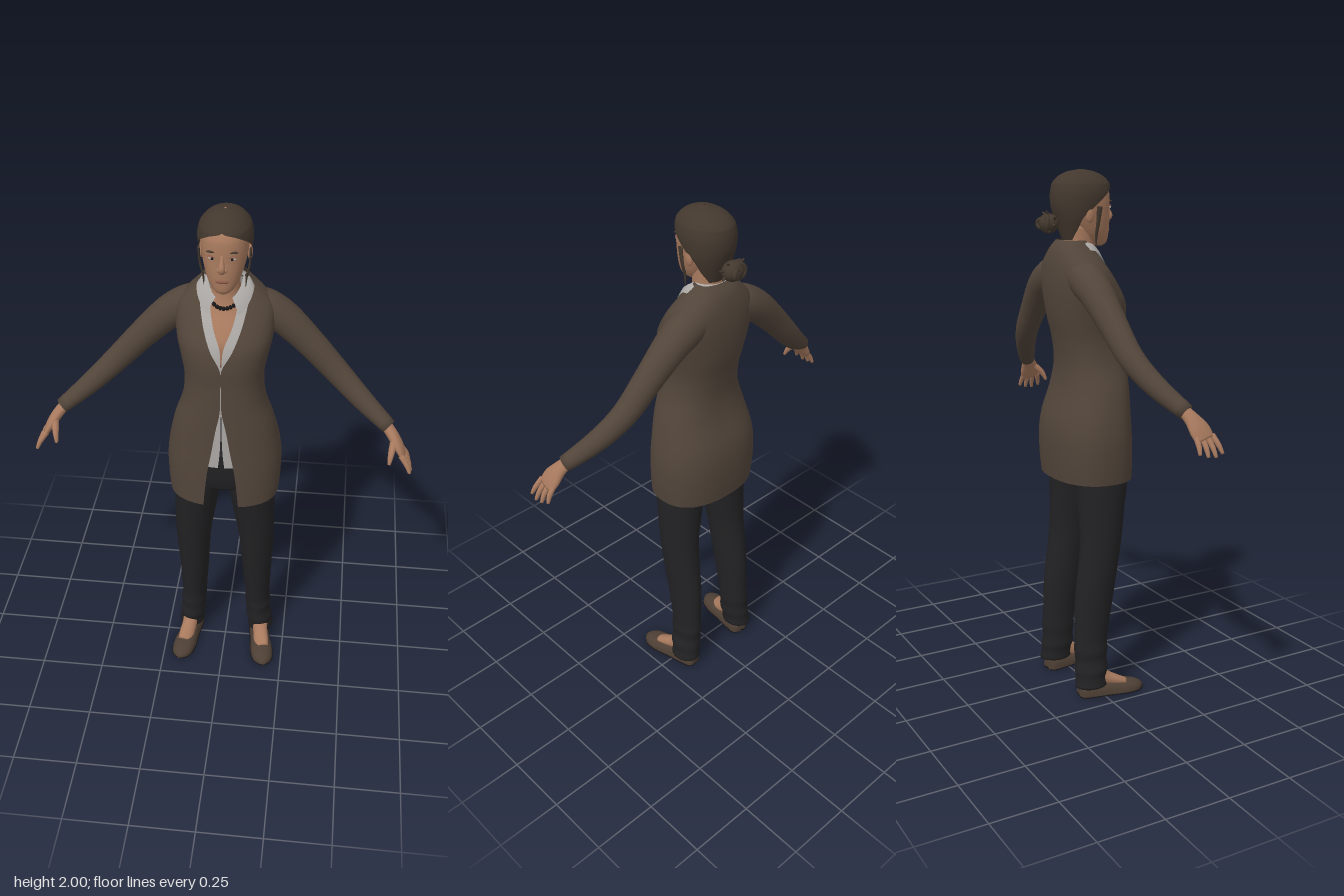
import * as THREE from 'three';

const mat = (name, color, side = THREE.FrontSide) => {
  const m = new THREE.MeshStandardMaterial({ color, side });
  m.name = name;
  return m;
};

// Catmull-Rom interpolation of every column of a station table
function smooth(rows, k = 4) {
  const out = [], at = i => rows[Math.min(rows.length - 1, Math.max(0, i))];
  for (let i = 0; i < rows.length - 1; i++) for (let j = 0; j < k; j++) {
    const t = j / k;
    out.push(rows[i].map((b, c) => {
      const a = at(i - 1)[c], d = at(i + 1)[c], e = at(i + 2)[c];
      return b + 0.5 * t * (d - a + t * (2 * a - 5 * b + 4 * d - e + t * (3 * (b - d) + e - a)));
    }));
  }
  out.push(rows[rows.length - 1]);
  return out;
}

// Skin a list of rings, each counter-clockwise about the direction of travel
function loft(rings, { closed = true, caps = true } = {}) {
  const n = rings[0].length, pos = rings.flat(2), idx = [];
  const m = closed ? n : n - 1;
  for (let i = 0; i < rings.length - 1; i++) for (let j = 0; j < m; j++) {
    const a = i * n + j, b = i * n + (j + 1) % n;
    idx.push(a, b, b + n, a, b + n, a + n);
  }
  if (closed && caps) [0, rings.length - 1].forEach((r, end) => {
    const c = pos.length / 3;
    for (let k = 0; k < 3; k++) pos.push(rings[r].reduce((s, p) => s + p[k], 0) / n);
    for (let j = 0; j < n; j++) {
      const a = r * n + j, b = r * n + (j + 1) % n;
      idx.push(...(end ? [a, b, c] : [b, a, c]));
    }
  });
  const g = new THREE.BufferGeometry();
  g.setAttribute('position', new THREE.Float32BufferAttribute(pos, 3));
  g.setIndex(idx);
  g.computeVertexNormals();
  return g;
}

// Upright body from [y, halfWidth, zFront, zBack, frontGap]; the gap is a width or an angle
function body(rows, { p = 0.85, n = 40, open = false, byAngle = false, caps = true } = {}) {
  const rings = smooth(rows).map(([y, w, zf, zb, gap = 0]) => {
    const g = Math.max(gap, 0);
    const a0 = byAngle ? g : Math.asin(Math.min(1, (g / w) ** (1 / p)));
    const pw = v => Math.sign(v) * Math.abs(v) ** p;
    return Array.from({ length: open ? n + 1 : n }, (_, j) => {
      const a = a0 + (2 * Math.PI - 2 * a0) * j / n;
      return [w * pw(Math.sin(a)), y, (zf + zb) / 2 + (zf - zb) / 2 * pw(Math.cos(a))];
    });
  });
  return loft(rings, { closed: !open, caps });
}

// Limb along a path of [x, y, z, thickness, breadth]
function limb(rows, n = 16, k = 4) {
  const pts = smooth(rows, k), V = q => new THREE.Vector3(q[0], q[1], q[2]);
  return loft(pts.map((q, i) => {
    const t = V(pts[Math.min(i + 1, pts.length - 1)]).sub(V(pts[Math.max(i - 1, 0)])).normalize();
    const u = t.clone().cross(new THREE.Vector3(0, 0, 1)).normalize(), v = t.clone().cross(u);
    return Array.from({ length: n }, (_, j) => {
      const a = 2 * Math.PI * j / n;
      return V(q).addScaledVector(u, q[3] * Math.cos(a)).addScaledVector(v, q[4] * Math.sin(a)).toArray();
    });
  }));
}

const ball = (x, y, z, rx, ry, rz) => new THREE.SphereGeometry(1, 18, 12).scale(rx, ry, rz).translate(x, y, z);

function mirrored(geo) {
  const g = geo.clone().scale(-1, 1, 1), ix = g.index.array;
  for (let i = 0; i < ix.length; i += 3) [ix[i], ix[i + 1]] = [ix[i + 1], ix[i]];
  g.computeVertexNormals();
  return g;
}

// Flat-bottomed shoe section swept from heel to toe
function shoe(grow, height) {
  const rows = [[-0.09, 0.018, 0.045], [-0.075, 0.036, 0.06], [-0.03, 0.04, 0.055], [0.03, 0.042, 0.05],
    [0.09, 0.047, 0.045], [0.14, 0.041, 0.036], [0.165, 0.024, 0.025], [0.176, 0.007, 0.014]];
  const rings = smooth(rows, 3).map(([z, w, h]) => Array.from({ length: 20 }, (_, j) => {
    const a = 2 * Math.PI * j / 20, s = Math.sin(a);
    return [(w + grow) * Math.cos(a), s > 0 ? (height || h) * s ** 0.7 : 0, z];
  }));
  return loft(rings).rotateY(0.17).translate(0.15, 0, 0);
}

export function createModel() {
  const model = new THREE.Group();
  const D = THREE.DoubleSide;
  const coat = mat('coatBrown', 0x52453a, D), hair = mat('hairBrown', 0x43382e, D), skin = mat('skin', 0xa87a5e);
  const trouser = mat('trouserBlack', 0x222224), shirt = mat('shirtGrey', 0xa9a6a3, D);
  const leather = mat('shoeBrown', 0x4d3f34), dark = mat('dark', 0x191618);
  const lip = mat('lip', 0x8c5a4a), white = mat('eyeWhite', 0xb8b0a8);
  const add = (name, geo, m) => {
    const mesh = new THREE.Mesh(geo, m);
    mesh.name = name;
    model.add(mesh);
  };
  const pair = (name, geo, m) => {
    add(name + 'Left', geo, m);
    add(name + 'Right', mirrored(geo), m);
  };

  // Long cardigan, open at the neck and below the waist
  add('coat', body([
    [0.86, 0.208, 0.168, -0.132, 0.066], [0.93, 0.214, 0.167, -0.138, 0.06], [1.02, 0.215, 0.165, -0.14, 0.05],
    [1.1, 0.205, 0.162, -0.13, 0.036], [1.2, 0.182, 0.16, -0.1, 0.02], [1.29, 0.152, 0.158, -0.09, 0.003],
    [1.38, 0.143, 0.155, -0.1, 0.0015], [1.46, 0.155, 0.156, -0.118, 0.002], [1.53, 0.17, 0.145, -0.128, 0.038],
    [1.59, 0.175, 0.11, -0.132, 0.063], [1.64, 0.17, 0.075, -0.13, 0.077], [1.68, 0.14, 0.05, -0.125, 0.084],
    [1.72, 0.098, 0.025, -0.113, 0.08], [1.75, 0.073, 0, -0.09, 0.064]], { open: true, n: 48 }), coat);
  pair('sleeve', limb([
    [0.09, 1.63, -0.05, 0.055, 0.065], [0.135, 1.61, -0.05, 0.068, 0.068], [0.205, 1.57, -0.052, 0.061, 0.063],
    [0.3, 1.48, -0.045, 0.053, 0.052], [0.405, 1.37, -0.03, 0.046, 0.045], [0.5, 1.285, 0.01, 0.039, 0.039],
    [0.603, 1.21, 0.066, 0.028, 0.031]], 24), coat);

  // Shirt and folded collar
  add('shirt', body([
    [1.03, 0.185, 0.148, -0.115, 0.012], [1.1, 0.18, 0.147, -0.11, 0.005], [1.2, 0.165, 0.145, -0.085, 0.0015],
    [1.3, 0.138, 0.143, -0.077, 0.001], [1.38, 0.13, 0.142, -0.087, 0.001], [1.46, 0.142, 0.145, -0.1, 0.002],
    [1.53, 0.15, 0.132, -0.11, 0.006], [1.59, 0.15, 0.1, -0.11, 0.03], [1.64, 0.13, 0.066, -0.105, 0.044],
    [1.68, 0.1, 0.045, -0.1, 0.048], [1.71, 0.08, 0.03, -0.09, 0.045]], { open: true }), shirt);
  const collarRow = (w, zf, zb, y, dip, a0) => Array.from({ length: 33 }, (_, j) => {
    const a = a0 + (2 * Math.PI - 2 * a0) * j / 32, c = Math.cos(a);
    return [w * Math.sin(a), y - dip * Math.max(0, c) ** 1.2, (zf + zb) / 2 + (zf - zb) / 2 * c];
  });
  add('collar', loft([collarRow(0.1, 0.088, -0.09, 1.715, 0.09, 0.58), collarRow(0.084, 0.075, -0.088, 1.74, 0.08, 0.52),
    collarRow(0.06, 0.055, -0.08, 1.745, 0.06, 0.5)], { closed: false }), shirt);

  // Neck, chest and necklace
  add('neckAndChest', body([
    [1.45, 0.1, 0.11, -0.08], [1.53, 0.11, 0.118, -0.09], [1.59, 0.11, 0.09, -0.09], [1.64, 0.085, 0.058, -0.088],
    [1.68, 0.058, 0.045, -0.085], [1.73, 0.05, 0.04, -0.07], [1.8, 0.05, 0.04, -0.07]], { p: 0.95 }), skin);
  for (let i = -4; i <= 4; i++) {
    const a = i * 0.2;
    add('necklaceBead', ball(0.06 * Math.sin(a), 1.655 + 0.04 * (1 - Math.cos(a)), -0.02 + 0.077 * Math.cos(a), 0.007, 0.008, 0.007), dark);
  }

  // Head and face
  add('head', body([
    [1.726, 0.02, 0.085, 0.02], [1.74, 0.038, 0.099, 0], [1.77, 0.056, 0.103, -0.03], [1.81, 0.069, 0.105, -0.06],
    [1.85, 0.078, 0.104, -0.08], [1.89, 0.083, 0.104, -0.095], [1.93, 0.081, 0.099, -0.1], [1.96, 0.066, 0.078, -0.083],
    [1.982, 0.036, 0.038, -0.05]], { p: 0.92 }), skin);
  add('nose', limb([[0, 1.88, 0.097, 0.007, 0.006], [0, 1.855, 0.108, 0.008, 0.009], [0, 1.834, 0.115, 0.012, 0.013],
    [0, 1.819, 0.106, 0.01, 0.009]], 12), skin);
  add('mouth', ball(0, 1.782, 0.101, 0.024, 0.007, 0.007), lip);
  pair('nostril', ball(0.01, 1.826, 0.106, 0.008, 0.008, 0.009), skin);
  pair('eye', ball(0.033, 1.865, 0.093, 0.014, 0.006, 0.008), white);
  pair('iris', ball(0.033, 1.865, 0.0975, 0.0055, 0.0055, 0.005), dark);
  pair('eyelid', ball(0.033, 1.8715, 0.0935, 0.016, 0.003, 0.009), lip);
  pair('eyebrow', ball(0.035, 1.888, 0.094, 0.019, 0.0035, 0.007), hair);
  pair('ear', ball(0.083, 1.842, -0.012, 0.009, 0.03, 0.018), skin);

  // Hair swept back into a bun with loose ends
  add('hair', body([
    [1.75, 0.045, 0, -0.075, 2.2], [1.79, 0.066, 0.03, -0.09, 1.9], [1.83, 0.083, 0.06, -0.105, 1.75],
    [1.87, 0.092, 0.09, -0.117, 1.4], [1.91, 0.095, 0.106, -0.12, 1], [1.94, 0.09, 0.106, -0.116, 0.5],
    [1.956, 0.083, 0.1, -0.11, 0], [1.977, 0.064, 0.078, -0.088, 0], [1.992, 0.038, 0.045, -0.056, 0],
    [2, 0.003, 0.002, -0.01, 0]], { open: true, byAngle: true, p: 0.95 }), hair);
  pair('looseStrand', limb([[0.088, 1.87, 0.025, 0.004, 0.012], [0.085, 1.81, 0.02, 0.004, 0.008],
    [0.075, 1.765, 0.018, 0.004, 0.006], [0.072, 1.725, 0.02, 0.001, 0.002]], 8), hair);
  add('bun', ball(0, 1.81, -0.137, 0.042, 0.036, 0.036), hair);
  for (let i = 0; i < 3; i++) add('bunCoil', new THREE.TorusGeometry(0.026 - i * 0.006, 0.009, 8, 20)
    .rotateY(i * 0.3 - 0.3).translate((i - 1) * 0.01, 1.81, -0.15 - i * 0.007), hair);
  for (let i = 0; i < 8; i++) {
    const a = i * 0.785 + 0.25, c = Math.cos(a), s = Math.sin(a);
    add('bunEnd', limb([[0.03 * c, 1.81 + 0.025 * s, -0.13, 0.008, 0.008],
      [0.062 * c, 1.815 + 0.04 * s, -0.135 - 0.01 * (i % 3), 0.002, 0.004]], 6, 2), hair);
  }

  // Hands
  pair('palm', limb([[0.585, 1.222, 0.056, 0.02, 0.022], [0.615, 1.19, 0.078, 0.02, 0.029],
    [0.64, 1.155, 0.095, 0.018, 0.041], [0.66, 1.122, 0.106, 0.012, 0.04]]), skin);
  [0.85, 1, 1.05, 0.92].forEach((len, i) => {
    const z = 0.073 + 0.022 * i, f = (i - 1.5) * 0.004;
    pair('finger', limb([[0.652, 1.135, z, 0.01, 0.01], [0.652 + 0.026 * len, 1.135 - 0.035 * len, z + f + 0.005, 0.0095, 0.0095],
      [0.652 + 0.04 * len, 1.135 - 0.066 * len, z + 2 * f + 0.008, 0.006, 0.006]], 10, 3), skin);
  });
  pair('thumb', limb([[0.625, 1.18, 0.1, 0.014, 0.014], [0.617, 1.145, 0.14, 0.012, 0.012],
    [0.612, 1.108, 0.16, 0.006, 0.006]], 10, 3), skin);

  // Trousers, with folds above the hem
  add('trouserHips', body([[0.9, 0.15, 0.115, -0.085], [0.95, 0.172, 0.128, -0.105], [1.02, 0.178, 0.135, -0.115],
    [1.08, 0.172, 0.135, -0.105]]), trouser);
  const leg = [[0.045, 0.15, 0.053, -0.042, 0.064], [0.08, 0.146, 0.05, -0.04, 0.062], [0.11, 0.143, 0.054, -0.037, 0.067],
    [0.15, 0.138, 0.049, -0.036, 0.064], [0.19, 0.137, 0.053, -0.036, 0.068], [0.24, 0.134, 0.051, -0.034, 0.067],
    [0.4, 0.13, 0.059, -0.018, 0.078], [0.6, 0.127, 0.07, 0.01, 0.081], [0.75, 0.115, 0.081, 0.02, 0.092],
    [0.86, 0.105, 0.088, 0.025, 0.104], [0.95, 0.09, 0.09, 0.02, 0.11]];
  pair('trouserLeg', loft(smooth(leg).map(([y, cx, rx, cz, rz]) => Array.from({ length: 28 }, (_, j) => {
    const a = 2 * Math.PI * j / 28;
    return [cx + rx * Math.sin(a), y, cz + rz * Math.cos(a)];
  }))), trouser);

  // Feet and slip-on shoes
  pair('foot', limb([[0.148, 0.1, -0.04, 0.034, 0.034], [0.153, 0.064, 0.015, 0.031, 0.028],
    [0.16, 0.044, 0.06, 0.032, 0.022], [0.166, 0.03, 0.095, 0.03, 0.018]]), skin);
  pair('shoe', shoe(0, 0), leather);
  pair('sole', shoe(0.002, 0.009), dark);

  return model;
}
